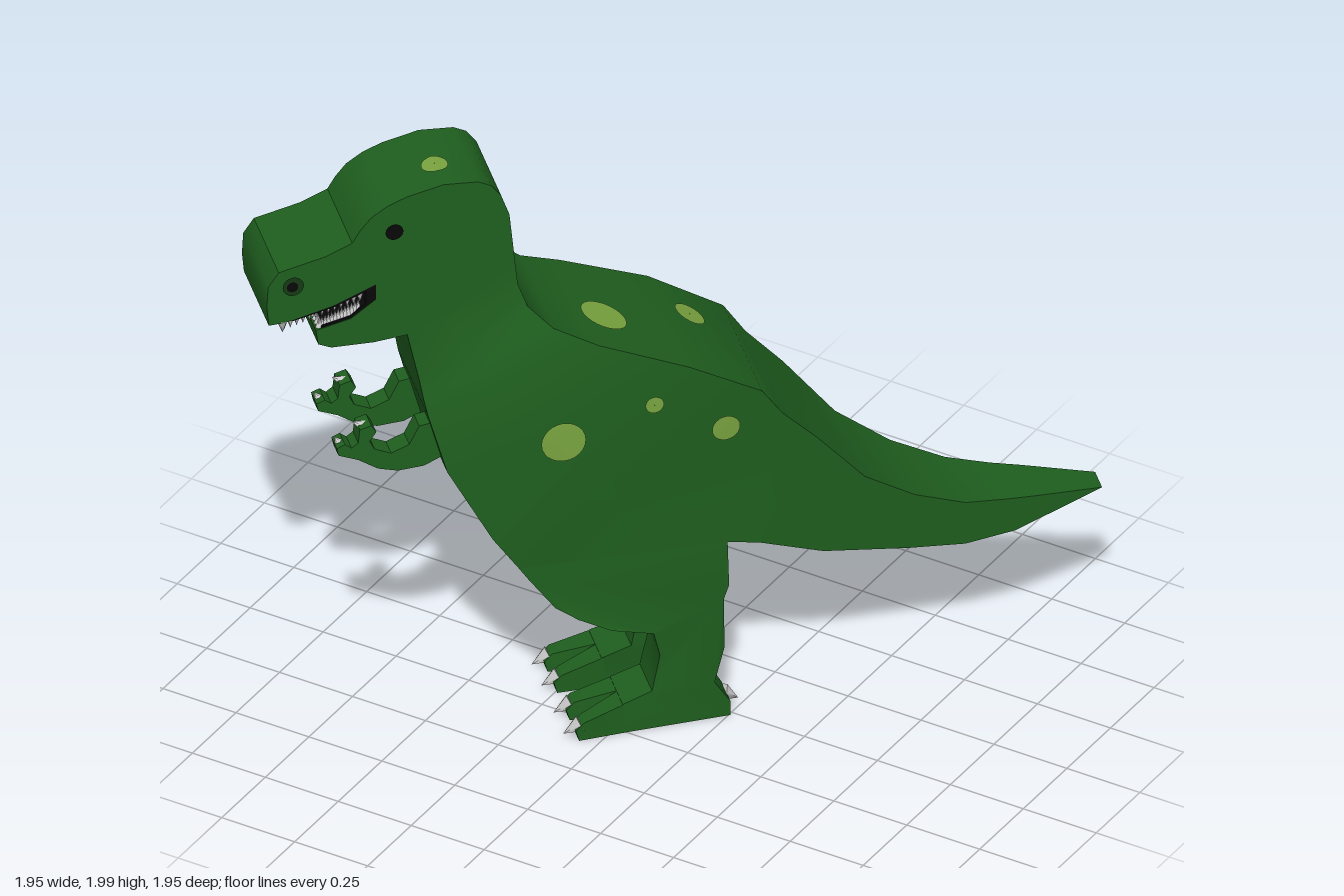
import * as THREE from 'three';
import { mergeGeometries, toCreasedNormals } from 'three/addons/utils/BufferGeometryUtils.js';

const paint = (name, color) => Object.assign(new THREE.MeshStandardMaterial({ color }), { name });
const green = paint('skin green', 0x1f5f1f);
const lime = paint('spot green', 0x7aa540);
const dark = paint('nostril green', 0x143a14);
const black = paint('mouth and eye black', 0x080808);
const white = paint('tooth and claw white', 0xd2d2d2);

const creased = positions => {
  const g = new THREE.BufferGeometry();
  g.setAttribute('position', new THREE.Float32BufferAttribute(positions, 3));
  return toCreasedNormals(g, 0.6);
};

// Solid from a side outline. Each point is [z, y, outer x, inner x]; inner x defaults to -outer x.
function slab(points) {
  const pts = points.map(([z, y, o, i = -o]) => ({ z, y, o, i }));
  const flat = pts.map(p => new THREE.Vector2(p.z, p.y));
  if (THREE.ShapeUtils.area(flat) < 0) { pts.reverse(); flat.reverse(); }
  const out = [];
  const put = (p, side) => out.push(p[side], p.y, p.z);
  for (const [a, b, c] of THREE.ShapeUtils.triangulateShape(flat, [])) {
    const turn = flat[b].clone().sub(flat[a]).cross(flat[c].clone().sub(flat[a]));
    const t = (turn > 0 ? [a, b, c] : [a, c, b]).map(k => pts[k]);
    t.forEach(p => put(p, 'i'));
    [t[0], t[2], t[1]].forEach(p => put(p, 'o'));
  }
  pts.forEach((p, k) => {
    const q = pts[(k + 1) % pts.length];
    put(p, 'o'); put(q, 'o'); put(q, 'i');
    put(p, 'o'); put(q, 'i'); put(p, 'i');
  });
  return creased(out);
}

// Skin over cross-sections [back z, y, half width, front z, y, half width, bulge]
function trunk(sections) {
  const rings = sections.map(([bz, by, bw, fz, fy, fw, bulge = 0]) => {
    const mix = (a, b) => a + (b - a) * 0.6;
    const half = [[bw, by, bz], [mix(bw, fw) + bulge, mix(by, fy), mix(bz, fz)], [fw, fy, fz]];
    return [...half, ...half.map(([x, y, z]) => [-x, y, z]).reverse()];
  });
  const out = [];
  for (let k = 0; k + 1 < rings.length; k++) {
    for (let j = 0; j < 6; j++) {
      const a = rings[k][j], b = rings[k][(j + 1) % 6];
      const c = rings[k + 1][(j + 1) % 6], d = rings[k + 1][j];
      out.push(...a, ...b, ...c, ...a, ...c, ...d);
    }
  }
  return creased(out);
}

// Flip a mirrored copy to the other side, keeping faces outward
const mirrored = pts => pts.map(([z, y, o, i]) => [z, y, -i, -o]);

function spike(x, y, z, dir, r, len) {
  const g = new THREE.ConeGeometry(r, len, 6);
  g.translate(0, len / 2, 0);
  g.applyQuaternion(new THREE.Quaternion().setFromUnitVectors(
    new THREE.Vector3(0, 1, 0), new THREE.Vector3(...dir).normalize()));
  return g.translate(x, y, z);
}

// Painted disc draped over the surface of a mesh
function decal(target, at, dir, r, lift = 0.005) {
  const d = new THREE.Vector3(...dir).normalize(), c = new THREE.Vector3(...at);
  const g = new THREE.RingGeometry(0.0005, r, 24, 4);
  const q = new THREE.Quaternion().setFromUnitVectors(new THREE.Vector3(0, 0, 1), d);
  const pos = g.attributes.position, ray = new THREE.Raycaster(), v = new THREE.Vector3();
  for (let k = 0; k < pos.count; k++) {
    v.fromBufferAttribute(pos, k).applyQuaternion(q).add(c);
    ray.set(v.clone().addScaledVector(d, 0.6), d.clone().negate());
    const hit = ray.intersectObject(target)[0];
    if (hit) v.copy(hit.point);
    v.addScaledVector(d, lift);
    pos.setXYZ(k, v.x, v.y, v.z);
  }
  g.computeVertexNormals();
  return g;
}

export function createModel() {
  const dino = new THREE.Group();
  dino.name = 'dinosaur';
  const add = (name, geo, mat) => {
    const m = new THREE.Mesh(geo, mat);
    m.name = name;
    dino.add(m);
    return m;
  };

  // Head outline with the open mouth as a notch
  const head = slab([
    [1.22, 1.575], [1.226, 1.64], [1.222, 1.71], [1.19, 1.757], [1.13, 1.771], [1.05, 1.79],
    [0.967, 1.825], [0.943, 1.865], [0.91, 1.905], [0.86, 1.938], [0.8, 1.962], [0.69, 1.987],
    [0.585, 1.98], [0.545, 1.96], [0.515, 1.92], [0.49, 1.85], [0.475, 1.7], [0.465, 1.6],
    [0.8, 1.475], [0.9, 1.465], [1.03, 1.467], [1.07, 1.485], [1.077, 1.535],
    [0.97, 1.56], [0.895, 1.615], [0.895, 1.668], [1.02, 1.615], [1.17, 1.577],
  ].map(p => [...p, 0.15]));

  // Neck, torso and tail
  const torso = trunk([
    [0.465, 1.6, 0.15, 0.8, 1.475, 0.15],
    [0.44, 1.53, 0.17, 0.765, 1.31, 0.16],
    [0.37, 1.46, 0.2, 0.755, 1.25, 0.17, 0.01],
    [0.24, 1.4, 0.235, 0.745, 1.2, 0.18, 0.018],
    [-0.03, 1.29, 0.25, 0.69, 1.0, 0.195, 0.026],
    [-0.255, 1.16, 0.235, 0.558, 0.757, 0.22, 0.02],
    [-0.32, 1.065, 0.226, 0.48, 0.645, 0.224, 0.015],
    [-0.43, 0.95, 0.21, -0.15, 0.645, 0.237],
    [-0.58, 0.77, 0.18, -0.25, 0.62, 0.227],
    [-0.74, 0.66, 0.15, -0.45, 0.54, 0.2],
    [-0.9, 0.59, 0.125, -0.72, 0.475, 0.15],
    [-1.03, 0.565, 0.1, -0.9, 0.445, 0.125],
    [-1.12, 0.552, 0.085, -1.06, 0.447, 0.095],
    [-1.335, 0.52, 0.042, -1.335, 0.52, 0.042],
  ]);
  const body = add('body', toCreasedNormals(mergeGeometries([head, torso]), 0.6), green);

  // Mouth lining and teeth
  add('mouthLining', slab([
    [1.15, 1.588], [1.02, 1.62], [0.89, 1.672], [0.89, 1.61], [0.965, 1.555], [1.06, 1.535],
    [1.06, 1.545], [0.97, 1.568], [0.925, 1.605], [0.925, 1.646], [1.02, 1.607], [1.15, 1.577],
  ].map(p => [...p, 0.148])), black);
  const teeth = [];
  for (let k = 0; k < 13; k++) {
    const t = k / 12, x = -0.135 + 0.27 * t;
    for (const s of [-1, 1]) {
      teeth.push(spike(s * 0.134, 1.646 - 0.062 * t, 0.94 + 0.23 * t, [0, -1, 0], 0.015, 0.042));
      teeth.push(spike(s * 0.134, 1.578 - 0.046 * t, 0.945 + 0.12 * t, [0, 1, 0], 0.011, 0.036));
    }
    teeth.push(spike(x, 1.58, 1.175, [0, -1, 0], 0.018, 0.045));
    teeth.push(spike(x, 1.53, 1.062, [0, 1, 0], 0.015, 0.038));
  }
  add('teeth', mergeGeometries(teeth), white);

  // Legs, toes and arms: [z, y, outer x, inner x]
  const leg = [
    [0.48, 0.645, 0.224, 0.035], [0.45, 0.6, 0.225, 0.035], [0.37, 0.49, 0.23, 0.045],
    [0.3, 0.44, 0.235, 0.05], [0.2, 0.386, 0.235, 0.055], [0.07, 0.345, 0.22, 0.06],
    [0.045, 0.25, 0.197, 0.055], [0.07, 0.13, 0.2, 0.05], [0.16, 0.1, 0.205, 0.05],
    [0.16, 0, 0.205, 0.05], [-0.17, 0, 0.19, 0.085], [-0.17, 0.05, 0.19, 0.085],
    [-0.12, 0.13, 0.2, 0.065], [-0.15, 0.25, 0.2, 0.055], [-0.14, 0.44, 0.23, 0.065],
    [-0.155, 0.49, 0.235, 0.07], [-0.15, 0.645, 0.237, 0.07],
  ];
  const toe = (a, b, c, d) => [
    [0.155, 0.1, a, b], [0.28, 0.06, c, d], [0.305, 0.035, c, d], [0.295, 0, c, d], [0.155, 0, a, b],
  ];
  const toes = [toe(0.205, 0.128, 0.215, 0.165), toe(0.128, 0.05, 0.1, 0.048)];
  const arm = [
    [0.68, 1.14], [0.73, 1.155], [0.765, 1.15], [0.795, 1.09], [0.85, 1.068], [0.9, 1.09], [0.915, 1.12],
    [0.895, 1.15], [0.91, 1.175], [0.945, 1.165], [0.95, 1.12], [0.97, 1.105], [0.99, 1.12],
    [1.015, 1.11], [1.01, 1.085], [0.95, 1.06], [0.89, 1.02], [0.83, 1.003], [0.75, 1.008], [0.68, 1.04],
  ].map(p => [...p, 0.155, 0.09]);

  for (const [name, s] of [['left', 1], ['right', -1]]) {
    const solid = pts => slab(s > 0 ? pts : mirrored(pts));
    add(name + 'Leg', solid(leg), green);
    add(name + 'Toes', mergeGeometries(toes.map(solid)), green);
    add(name + 'Arm', solid(arm), green);
    // Claws on toes, heel and fingers
    add(name + 'Claws', mergeGeometries([
      spike(s * 0.19, 0.045, 0.285, [0, -0.55, 1], 0.028, 0.06),
      spike(s * 0.074, 0.045, 0.285, [0, -0.55, 1], 0.028, 0.06),
      spike(s * 0.137, 0.05, -0.16, [0, -0.6, -1], 0.028, 0.055),
      spike(s * 0.122, 1.155, 0.925, [0, 0.6, 1], 0.02, 0.042),
      spike(s * 0.122, 1.1, 0.995, [0, 1, 0.6], 0.02, 0.038),
    ]), white);
    // Eye and nostril
    add(name + 'Eye', decal(body, [s * 0.15, 1.847, 0.84], [s, 0, 0], 0.027), black);
    add(name + 'Nostril', decal(body, [s * 0.15, 1.704, 1.147], [s, 0, 0], 0.032), dark);
    add(name + 'NostrilHole', decal(body, [s * 0.15, 1.704, 1.15], [s, 0, 0], 0.017, 0.008), black);
  }

  // Skin spots: position, facing direction, radius
  const spots = [
    [[0.2, 1.085, 0.35], [1, 0, 0], 0.067], [[0.2, 1.175, 0.075], [1, 0, 0], 0.028],
    [[0.2, 1.05, -0.145], [1, 0, 0], 0.043], [[-0.2, 1.035, 0.25], [-1, 0, 0], 0.12],
    [[-0.2, 0.975, -0.15], [-1, 0, 0], 0.046], [[0.04, 1.98, 0.69], [0, 1, 0], 0.04],
    [[-0.03, 1.71, 0.476], [0, 0, -1], 0.036], [[0.053, 1.38, 0.18], [0, 1, -0.4], 0.073],
    [[-0.09, 1.25, -0.12], [0, 1, -0.55], 0.05],
  ];
  add('spots', mergeGeometries(spots.map(([at, dir, r]) => decal(body, at, dir, r))), lime);

  // The animal stands diagonally
  dino.rotation.y = -Math.PI / 4;
  const model = new THREE.Group();
  model.name = 'model';
  model.add(dino);
  return model;
}
